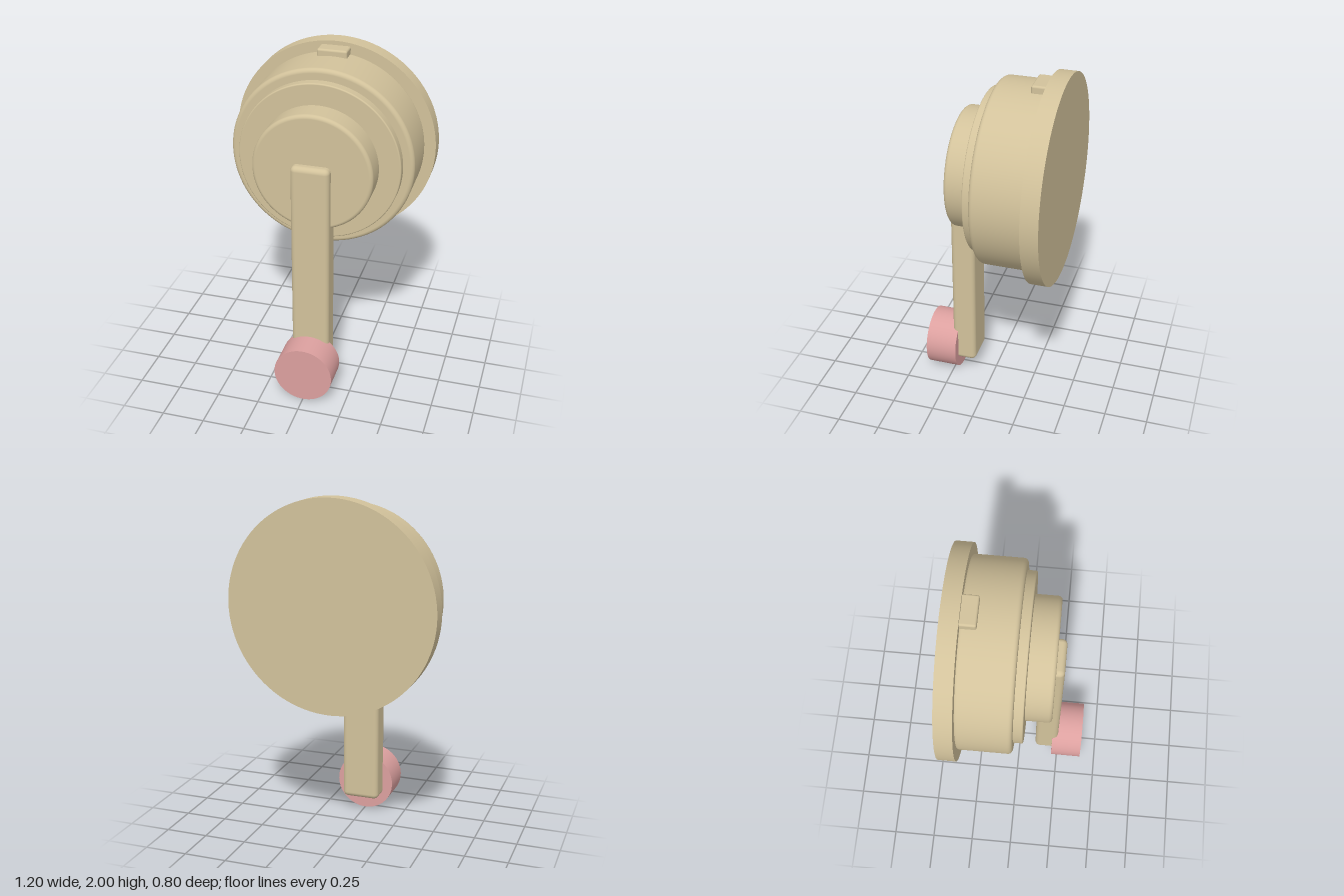
import * as THREE from 'three';
import { RoundedBoxGeometry } from 'three/addons/geometries/RoundedBoxGeometry.js';

const tan = new THREE.MeshStandardMaterial({ color: 0xd2c29b });
tan.name = 'tan';
const pink = new THREE.MeshStandardMaterial({ color: 0xdca09f });
pink.name = 'pink';

// Solid disc along z from z0 to z1, with rounded front and back rims where given
function disc(name, radius, y, z0, z1, material, frontRound = 0, backRound = 0) {
  const points = [new THREE.Vector2(0, z0)];
  const rim = (round, z, start) => {
    if (!round) {
      // doubled point keeps the edge sharp
      points.push(new THREE.Vector2(radius, z), new THREE.Vector2(radius, z));
      return;
    }
    for (let i = 0; i <= 6; i++) {
      const a = start + (i / 6) * Math.PI / 2;
      points.push(new THREE.Vector2(radius - round + Math.cos(a) * round, z + Math.sin(a) * round));
    }
  };
  rim(backRound, z0 + backRound, -Math.PI / 2);
  rim(frontRound, z1 - frontRound, 0);
  points.push(new THREE.Vector2(0, z1));
  const mesh = new THREE.Mesh(new THREE.LatheGeometry(points, 96).rotateX(Math.PI / 2), material);
  mesh.name = name;
  mesh.position.y = y;
  return mesh;
}

// Rounded block given by its bounds, centred on x = 0
function block(name, width, y0, y1, z0, z1, round) {
  const mesh = new THREE.Mesh(new RoundedBoxGeometry(width, y1 - y0, z1 - z0, 4, round), tan);
  mesh.name = name;
  mesh.position.set(0, (y0 + y1) / 2, (z0 + z1) / 2);
  return mesh;
}

export function createModel() {
  const group = new THREE.Group();
  group.name = 'crankHandle';
  group.add(
    // stepped round housing, back to front
    disc('backPlate', 0.6, 1.4, -0.4, -0.3, tan),
    disc('housing', 0.535, 1.405, -0.31, 0, tan, 0.025, 0.025),
    disc('stepRing', 0.472, 1.405, -0.02, 0.053, tan, 0.008),
    disc('hub', 0.347, 1.405, 0.03, 0.2, tan, 0.022),
    // small index tab on top of the housing
    block('topTab', 0.175, 1.85, 1.975, -0.34, -0.213, 0.012),
    // crank arm and its grip
    block('crankArm', 0.224, 0.1, 1.457, 0.105, 0.248, 0.03),
    disc('gripKnob', 0.174, 0.174, 0.213, 0.4, pink),
  );
  return group;
}
